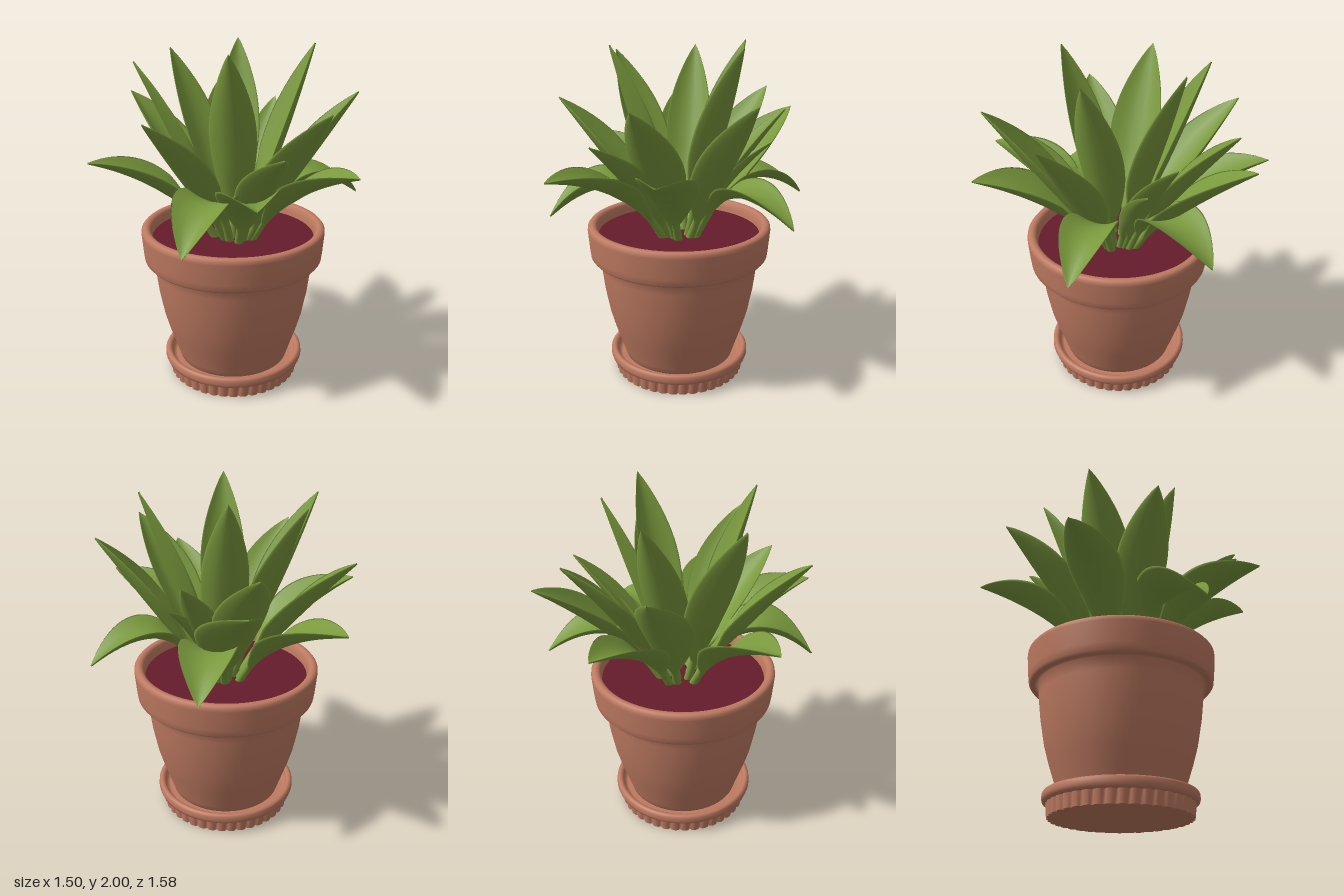
import * as THREE from 'three';

const CX = -0.027; // pot axis

const mat = (name, color, side = THREE.FrontSide) => {
  const m = new THREE.MeshStandardMaterial({ color, side });
  m.name = name;
  return m;
};

// Smooth lathe from [radius, y] pairs, bottom to top on the outside
function lathe(name, points, material) {
  const g = new THREE.LatheGeometry(points.map(([r, y]) => new THREE.Vector2(r, y)), 72);
  const mesh = new THREE.Mesh(g, material);
  mesh.name = name;
  mesh.position.x = CX;
  return mesh;
}

// Leaf swept along an arching curve: narrow stem, then a cupped pointed blade
function leaf([x, y, z, width, rise, fold, bow = 0], material) {
  const r = Math.hypot(x, z), dx = x / r, dz = z / r;
  const start = 0.02 + 0.13 * r * r;
  const reach = 0.44 * r;
  const side = new THREE.Vector3(dz, 0, -dx);
  const curve = new THREE.QuadraticBezierCurve3(
    new THREE.Vector3(dx * start - 0.01, 0.85, dz * start - 0.01),
    new THREE.Vector3(dx * reach, rise, dz * reach).addScaledVector(side, bow),
    new THREE.Vector3(x, y, z));
  const rows = 28, cols = 18, pos = [], index = [];
  for (let i = 0; i <= rows; i++) {
    const t = i / rows;
    const p = curve.getPoint(t);
    const up = curve.getTangent(t).cross(side).normalize();
    const s = Math.max(0, (t - 0.18) / 0.82);
    const blade = width * Math.pow(Math.max(0, Math.sin(Math.PI * Math.pow(s, 1.05))), 0.85);
    const half = 0.026 * (1 - t) + blade + 0.001;
    const thick = 0.02 * (1 - t) + 0.005;
    for (let j = 0; j < cols; j++) {
      const a = (j / cols) * Math.PI * 2;
      const u = Math.cos(a) * half;
      const v = Math.sin(a) * thick + fold * (u * u / half - half * 0.3) * Math.min(1, s * 3);
      const q = p.clone().addScaledVector(side, u).addScaledVector(up, v);
      pos.push(q.x, q.y, q.z);
      if (i < rows) {
        const b = i * cols + j, c = i * cols + (j + 1) % cols;
        index.push(b, c, b + cols, c, c + cols, b + cols);
      }
    }
  }
  const g = new THREE.BufferGeometry();
  g.setAttribute('position', new THREE.Float32BufferAttribute(pos, 3));
  g.setIndex(index);
  g.computeVertexNormals();
  return new THREE.Mesh(g, material);
}

export function createModel() {
  const model = new THREE.Group();
  model.name = 'pottedPlant';
  const clay = mat('terracotta', 0xbe7a61);
  const earth = mat('soil', 0x661c2c);
  const green = mat('leafGreen', 0x7a993d, THREE.DoubleSide);

  // Pot with a heavy rim
  model.add(lathe('pot', [
    [0, 0.09], [0.32, 0.09], [0.335, 0.1], [0.348, 0.14], [0.367, 0.2], [0.4, 0.3], [0.428, 0.4],
    [0.456, 0.55], [0.472, 0.68], [0.478, 0.748], [0.5, 0.746], [0.522, 0.749], [0.533, 0.762],
    [0.538, 0.8], [0.548, 0.92], [0.546, 0.94], [0.536, 0.952], [0.52, 0.955],
    [0.505, 0.952], [0.494, 0.94], [0.488, 0.91], [0.48, 0.84],
  ], clay));

  const soil = new THREE.Mesh(new THREE.CylinderGeometry(0.486, 0.48, 0.04, 64), earth);
  soil.name = 'soil';
  soil.position.set(CX, 0.865, 0);
  model.add(soil);

  // Saucer lip and floor
  model.add(lathe('saucer', [
    [0.37, 0.075], [0.41, 0.075], [0.424, 0.082], [0.43, 0.1], [0.428, 0.125], [0.42, 0.136],
    [0.408, 0.139], [0.395, 0.134], [0.388, 0.122], [0.382, 0.095], [0.36, 0.088], [0, 0.088],
  ], clay));

  // Fluted saucer base
  const flutes = 40;
  const baseGeo = new THREE.CylinderGeometry(0.405, 0.397, 0.078, flutes * 6, 1);
  const p = baseGeo.attributes.position;
  for (let i = 0; i < p.count; i++) {
    const a = Math.atan2(p.getZ(i), p.getX(i));
    const k = 0.965 + 0.04 * Math.sqrt(Math.abs(Math.cos(a * flutes / 2)));
    p.setX(i, p.getX(i) * k);
    p.setZ(i, p.getZ(i) * k);
  }
  baseGeo.computeVertexNormals();
  const base = new THREE.Mesh(baseGeo, clay);
  base.name = 'saucerBase';
  base.position.set(CX, 0.039, 0);
  model.add(base);

  // Leaves: tip x, y, z, half width, height of the arch's control point, cupping, sideways bow
  const leaves = new THREE.Group();
  leaves.name = 'leaves';
  const specs = [
    // upright inner leaves
    [0.08, 2.0, 0.40, 0.12, 1.38, 0.5],
    [-0.13, 2.0, -0.42, 0.12, 1.38, 0.5],
    [0.38, 2.0, -0.25, 0.12, 1.38, 0.5],
    [-0.49, 1.95, -0.21, 0.12, 1.36, 0.5],
    [-0.49, 1.93, 0.29, 0.14, 1.36, 0.45],
    // middle ring
    [0.64, 1.74, -0.25, 0.13, 1.29, 0.55],
    [0.61, 1.73, 0.38, 0.14, 1.29, 0.5],
    [-0.28, 1.68, 0.66, 0.14, 1.3, 0.5],
    [-0.75, 1.68, -0.19, 0.14, 1.3, 0.55],
    [-0.33, 1.7, -0.63, 0.14, 1.3, 0.5],
    [0.06, 1.62, -0.61, 0.09, 1.28, 0.5],
    [0.42, 1.53, 0.56, 0.12, 1.26, 0.5],
    [0.16, 1.45, -0.50, 0.04, 1.25, 0.8],
    // outer spreading leaves
    [0.75, 1.39, 0.29, 0.155, 1.33, 0.5],
    [0.35, 1.34, 0.79, 0.155, 1.35, 0.5],
    [-0.72, 1.39, 0.45, 0.145, 1.33, 0.5],
    [-0.75, 1.39, -0.47, 0.145, 1.33, 0.5],
    [-0.31, 1.57, -0.79, 0.16, 1.3, 0.45, -0.08],
    // drooping leaves
    [-0.05, 1.03, 0.76, 0.155, 1.5, 0.5],
    [-0.06, 1.08, -0.78, 0.145, 1.47, 0.45],
    [0.63, 1.08, -0.47, 0.13, 1.47, 0.5],
  ];
  specs.forEach((s, i) => {
    const m = leaf(s, green);
    m.name = 'leaf' + (i + 1);
    leaves.add(m);
  });
  model.add(leaves);
  return model;
}
